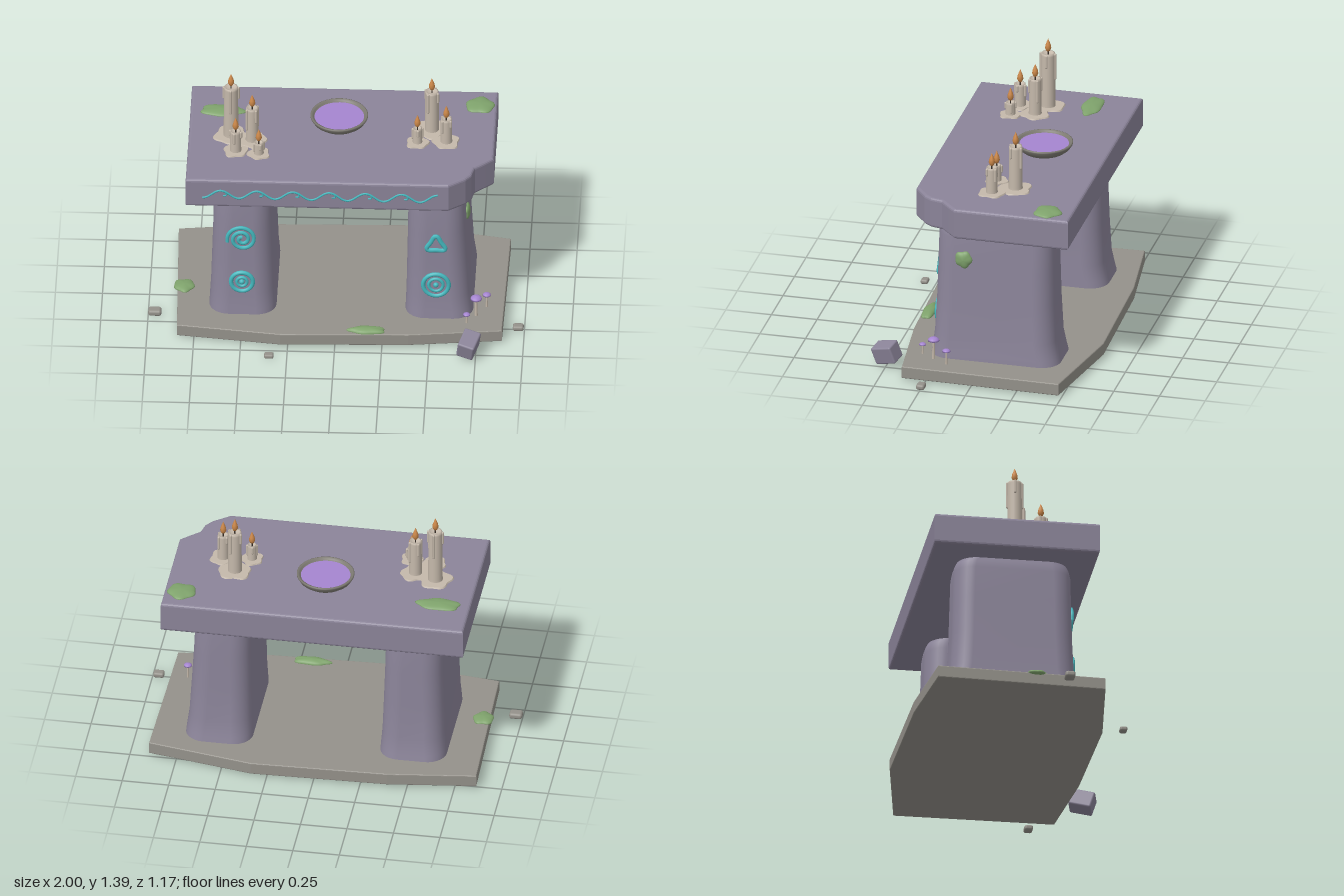
import * as THREE from 'three';
import { RoundedBoxGeometry } from 'three/addons/geometries/RoundedBoxGeometry.js';

const mat = (name, color) => Object.assign(new THREE.MeshStandardMaterial({ color }), { name });

export function createModel() {
  const M = {
    stone: mat('violet stone', 0x8b8499),
    base: mat('grey stone', 0x94918a),
    bowl: mat('bowl stone', 0x7d7a72),
    wax: mat('wax', 0xc4b8aa),
    flame: mat('flame', 0xcb8748),
    wick: mat('wick', 0x3a322c),
    glyph: mat('turquoise glyph', 0x45b9bf),
    violet: mat('violet', 0xa585d0),
    moss: mat('moss', 0x7fa36c),
  };
  const model = new THREE.Group();
  model.name = 'stoneAltar';

  const add = (name, geo, material, x = 0, y = 0, z = 0, parent = model) => {
    const m = new THREE.Mesh(geo, material);
    m.name = name;
    m.position.set(x, y, z);
    parent.add(m);
    return m;
  };
  const group = (name, x, y, z) => {
    const g = new THREE.Group();
    g.name = name;
    g.position.set(x, y, z);
    model.add(g);
    return g;
  };
  const lathe = (pts, n = 20) => new THREE.LatheGeometry(pts.map(p => new THREE.Vector2(...p)), n);

  // Bevelled horizontal slab from an outline of [x, z] points
  const slab = (pts, y0, y1, bevel) => {
    const shape = new THREE.Shape(pts.map(([x, z]) => new THREE.Vector2(x, -z)));
    const g = new THREE.ExtrudeGeometry(shape, {
      depth: y1 - y0 - 2 * bevel, bevelEnabled: true, bevelSize: bevel,
      bevelThickness: bevel, bevelOffset: -bevel, bevelSegments: 3,
    });
    g.rotateX(-Math.PI / 2);
    g.translate(0, y0 + bevel, 0);
    return g;
  };
  add('basePlate', slab([[-0.84, 0.39], [-0.29, 0.457], [0.39, 0.435], [0.885, 0.377], [0.9, -0.485],
    [0.335, -0.59], [-0.395, -0.572], [-0.865, -0.512]], 0.01, 0.078, 0.006), M.base);
  add('tableTop', slab([[-0.795, 0.368], [0.6, 0.368], [0.69, 0.3], [0.72, 0.26], [0.735, 0.195], [0.79, 0.145],
    [0.832, 0.105], [0.832, -0.52], [-0.795, -0.52]], 0.83, 1.0, 0.015), M.stone);

  // Pillars: rounded rectangles lofted between levels [y, xMin, xMax, zMin, zMax]
  const loft = levels => {
    const pos = [], idx = [], per = 8, n = per * 4;
    for (const [y, x0, x1, z0, z1] of levels) {
      const r = 0.105, cx = (x0 + x1) / 2, cz = (z0 + z1) / 2;
      const hx = (x1 - x0) / 2 - r, hz = (z1 - z0) / 2 - r;
      for (let c = 0; c < 4; c++) for (let i = 0; i < per; i++) {
        const a = (c + i / (per - 1)) * Math.PI / 2;
        const sx = c === 0 || c === 3 ? 1 : -1, sz = c < 2 ? 1 : -1;
        pos.push(cx + sx * hx + r * Math.cos(a), y, cz + sz * hz + r * Math.sin(a));
      }
    }
    for (let l = 0; l < levels.length - 1; l++) for (let i = 0; i < n; i++) {
      const a = l * n + i, b = l * n + (i + 1) % n;
      idx.push(a, a + n, b, b, a + n, b + n);
    }
    const g = new THREE.BufferGeometry();
    g.setAttribute('position', new THREE.Float32BufferAttribute(pos, 3));
    g.setIndex(idx);
    g.computeVertexNormals();
    return g;
  };
  const pillar = (b0, b1, t0, t1) => loft([
    [0.06, 0, 0, 0.278], [0.11, 0.1, 0.012, 0.272], [0.2, 0.35, 0.03, 0.261], [0.4, 0.6, 0.04, 0.252],
    [0.6, 0.85, 0.045, 0.248], [0.77, 1, 0.05, 0.244], [0.81, 1.2, 0.058, 0.236], [0.845, 1.6, 0.075, 0.222],
  ].map(([y, t, back, front]) => [y, b0 + (t0 - b0) * t, b1 + (t1 - b1) * t, -0.433 + back, front]));
  add('leftPillar', pillar(0.365, 0.727, 0.38, 0.682), M.stone);
  add('rightPillar', pillar(-0.677, -0.318, -0.652, -0.343), M.stone);

  // Glowing carvings
  const curveTube = (pts, r, closed = false) => new THREE.TubeGeometry(
    new THREE.CatmullRomCurve3(pts, closed, 'centripetal'), pts.length * 4, r, 6, closed);
  const ring = (name, x, y, z, r, t) => add(name, new THREE.TorusGeometry(r, t, 8, 32), M.glyph, x, y, z);
  const dot = (x, y, z) => add('glyphDot', new THREE.SphereGeometry(0.015, 12, 8), M.glyph, x, y, z);
  const spiral = [];
  for (let i = 0; i <= 30; i++) {
    const a = i / 30 * Math.PI * 4.6, r = 0.01 + 0.07 * i / 30;
    spiral.push(new THREE.Vector3(r * Math.cos(a + 1.5), r * Math.sin(a + 1.5), 0));
  }
  add('spiralGlyph', curveTube(spiral, 0.011), M.glyph, -0.5, 0.545, 0.25);
  ring('ringGlyph', -0.5, 0.275, 0.257, 0.058, 0.012);
  ring('innerRingGlyph', -0.5, 0.275, 0.257, 0.027, 0.009);
  dot(-0.5, 0.275, 0.257);
  ring('ringGlyph', 0.53, 0.282, 0.257, 0.068, 0.012);
  ring('innerRingGlyph', 0.53, 0.282, 0.257, 0.038, 0.009);
  dot(0.53, 0.282, 0.257);
  const tri = [];
  for (let c = 0; c < 3; c++) {
    const corner = k => new THREE.Vector3(0.065 * Math.cos(Math.PI / 2 + k * 2.0944), 0.065 * Math.sin(Math.PI / 2 + k * 2.0944), 0);
    for (const t of [0.12, 0.5, 0.88]) tri.push(corner(c).lerp(corner(c + 1), t));
  }
  add('triangleGlyph', curveTube(tri, 0.013, true), M.glyph, 0.53, 0.535, 0.25);

  // Wave with small curls along the front edge
  const wave = [];
  for (let i = 0; i <= 52; i++) {
    const t = i / 52;
    wave.push(new THREE.Vector3(-0.705 + 1.25 * t, 0.912 - 0.024 * Math.cos(t * 13 * Math.PI), 0.368));
  }
  add('waveGlyph', curveTube(wave, 0.006), M.glyph);
  for (let i = 0; i < 6; i++) {
    const x = -0.609 + i * 0.1923;
    add('waveCurl', curveTube([[0, 0.023], [0.028, 0.012], [0.03, -0.006], [0.014, -0.008]]
      .map(([u, v]) => new THREE.Vector3(x + u, 0.912 + v, 0.368)), 0.005), M.glyph);
  }

  // Lobed outline shared by moss clumps and wax puddles
  const lobed = (geo, seed, amount) => {
    const p = geo.attributes.position;
    for (let i = 0; i < p.count; i++) {
      const a = Math.atan2(p.getZ(i), p.getX(i));
      const k = 1 + amount * (Math.sin(5 * a + seed) + 0.6 * Math.sin(3 * a + seed * 2.3));
      p.setX(i, p.getX(i) * k);
      p.setZ(i, p.getZ(i) * k);
    }
    geo.computeVertexNormals();
    return geo;
  };

  // Candles: [x, z, top, radius, puddle radius]
  [[-0.57, -0.057, 1.312, 0.039, 0.088], [-0.456, -0.015, 1.21, 0.034, 0.078], [-0.54, 0.088, 1.13, 0.03, 0.064],
    [-0.416, 0.11, 1.075, 0.026, 0.058], [0.493, -0.148, 1.25, 0.037, 0.086], [0.421, -0.026, 1.095, 0.025, 0.06],
    [0.574, -0.038, 1.15, 0.031, 0.07]].forEach(([x, z, top, r, pr], i) => {
    const c = group('candle', x, 1, z), h = top - 1;
    add('waxPuddle', lobed(new THREE.CylinderGeometry(pr * 0.95, pr, 0.007, 40), i * 1.7, 0.09), M.wax, 0, 0.0035, 0, c);
    add('candleBody', lathe([[r * 1.05, 0], [r, 0.02], [r * 0.97, h - 0.012], [r * 0.93, h], [r * 0.75, h],
      [r * 0.55, h - 0.008], [0, h - 0.01]]), M.wax, 0, 0, 0, c);
    for (let k = 0; k < 4; k++) {
      const a = i * 0.9 + k * 1.6, len = h * (0.2 + 0.12 * ((k * 2 + i) % 4));
      add('waxDrip', new THREE.CapsuleGeometry(0.0075, len, 4, 8), M.wax,
        r * Math.cos(a), h - 0.007 - len / 2, r * Math.sin(a), c);
    }
    add('wick', new THREE.CylinderGeometry(0.004, 0.004, 0.03, 6), M.wick, 0, h + 0.003, 0, c);
    add('flame', lathe([[0, 0], [0.01, 0.008], [0.017, 0.024], [0.014, 0.042], [0.006, 0.063], [0, 0.078]], 12),
      M.flame, 0, h + 0.005, 0, c);
  });

  // Offering bowl
  const bowl = group('bowl', 0, 1, -0.18);
  add('bowlBody', lathe([[0, 0], [0.085, 0], [0.115, 0.014], [0.14, 0.034], [0.153, 0.056], [0.153, 0.064],
    [0.147, 0.066], [0.136, 0.06], [0.128, 0.045], [0, 0.04]], 40), M.bowl, 0, 0, 0, bowl);
  add('bowlLiquid', new THREE.CylinderGeometry(0.132, 0.13, 0.006, 40), M.violet, 0, 0.049, 0, bowl);

  // Moss clumps: [x, y, z, half width, half height, half depth]
  [[-0.625, 1.0, -0.285, 0.118, 0.017, 0.055], [0.74, 1.0, -0.385, 0.076, 0.019, 0.073],
    [0.17, 0.08, 0.405, 0.1, 0.02, 0.035], [-0.815, 0.08, 0.025, 0.055, 0.018, 0.058],
    [0.687, 0.648, 0.088, 0.048, 0.02, 0.046]].forEach(([x, y, z, w, h, d], i) => {
    const m = add('moss', lobed(new THREE.SphereGeometry(1, 32, 12), i * 2.1 + 0.6, 0.07), M.moss, x, y, z);
    m.scale.set(w, h, d);
    if (i === 4) m.rotation.z = -Math.PI / 2;
  });

  // Mushrooms: [x, z, cap height, cap radius]
  [[0.743, 0.238, 0.183, 0.031], [0.796, 0.155, 0.152, 0.022], [0.695, 0.31, 0.129, 0.019]].forEach(([x, z, y, r]) => {
    const m = group('mushroom', x, 0.075, z), h = y - 0.075;
    add('mushroomStem', new THREE.CylinderGeometry(r * 0.2, r * 0.28, h, 8), M.wax, 0, h / 2, 0, m);
    add('mushroomCap', lathe([[0, 0], [r, 0], [r * 0.92, r * 0.3], [r * 0.55, r * 0.55], [0, r * 0.65]], 16),
      M.violet, 0, h, 0, m);
  });

  // Fallen block and loose pebbles
  const block = add('fallenBlock', new RoundedBoxGeometry(0.092, 0.1, 0.125, 2, 0.01), M.stone, 0.713, 0.073, 0.502);
  block.rotation.set(0.28, -0.3, -0.12);
  [[-0.965, 0.018, 0.18, 0.07, 0.034, 0.055], [-0.345, 0.013, 0.56, 0.05, 0.025, 0.04],
    [0.967, 0.016, 0.25, 0.058, 0.03, 0.046]].forEach(([x, y, z, w, h, d]) =>
    add('pebble', new RoundedBoxGeometry(w, h, d, 3, h * 0.4), M.base, x, y, z));

  return model;
}
